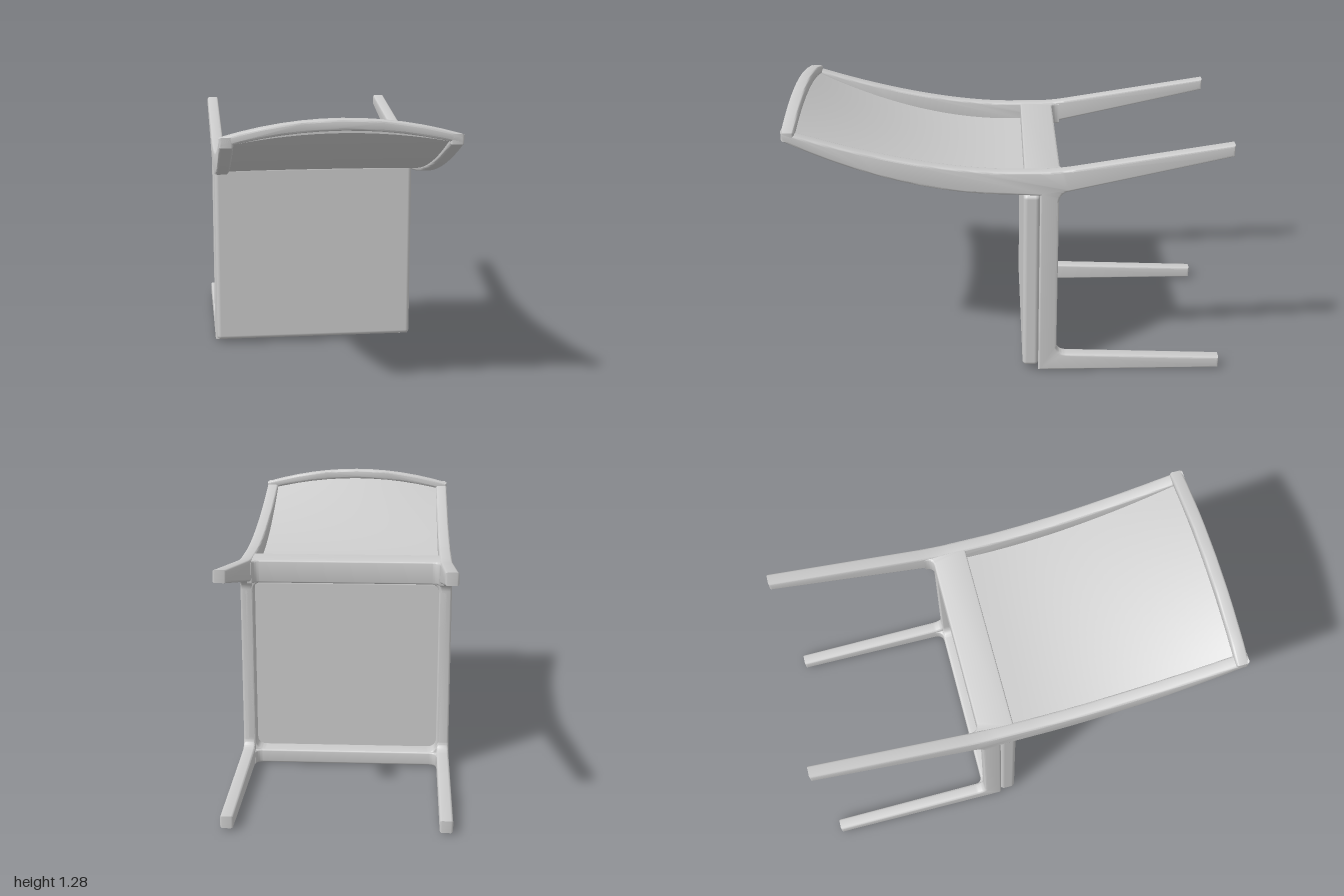
import * as THREE from 'three';
import { toCreasedNormals } from 'three/addons/utils/BufferGeometryUtils.js';
import { RoundedBoxGeometry } from 'three/addons/geometries/RoundedBoxGeometry.js';

const material = new THREE.MeshStandardMaterial({ color: 0xcccccc });

// Lower and upper edge of the curved back stiles, as height over z
const lowerEdge = (z) => 0.912 + 0.26 * Math.max(z, 0) ** 1.9;
const upperEdge = (z) => 1.02 + 0.195 * Math.max(z, 0) ** 1.7;

function part(name, geometry) {
  const mesh = new THREE.Mesh(geometry, material);
  mesh.name = name;
  return mesh;
}

// Extrusion whose bevel stays inside the drawn outline and depth
function extrude(shape, depth, bevel) {
  const g = new THREE.ExtrudeGeometry(shape, {
    depth: depth - 2 * bevel, bevelThickness: bevel, bevelSize: bevel,
    bevelOffset: -bevel, bevelSegments: 3, curveSegments: 12,
  });
  g.translate(0, 0, bevel);
  return toCreasedNormals(g, 0.6);
}

// Side profile in (z, y): back stile, seat side rail and both legs in one piece
function sideFrame() {
  const s = new THREE.Shape();
  s.moveTo(1, lowerEdge(1));
  for (let i = 19; i >= 0; i--) s.lineTo(i / 20, lowerEdge(i / 20));
  s.lineTo(-0.14, 0.905);
  s.lineTo(-0.14, 0);
  s.lineTo(-1, 0.008);
  s.lineTo(-1, 0.063);
  s.lineTo(-0.275, 0.085);
  s.quadraticCurveTo(-0.225, 0.087, -0.225, 0.13);
  s.lineTo(-0.225, 0.87);
  s.quadraticCurveTo(-0.225, 0.915, -0.27, 0.925);
  s.lineTo(-1, 1.09);
  s.lineTo(-1, 1.145);
  s.lineTo(-0.3, 1.033);
  s.quadraticCurveTo(-0.22, 1.02, -0.14, 1.02);
  for (let i = 0; i <= 20; i++) s.lineTo(i / 20, upperEdge(i / 20));
  s.closePath();
  return extrude(s, 0.058, 0.01).rotateY(-Math.PI / 2).translate(0.5, 0, 0);
}

// Cross rail seen from above, flaring into the legs with small fillets
function crossRail(front, y, height) {
  const s = new THREE.Shape();
  s.moveTo(-0.46, -front);
  s.lineTo(0.46, -front);
  s.lineTo(0.46, 0.27);
  s.lineTo(0.44, 0.27);
  s.quadraticCurveTo(0.44, 0.23, 0.4, 0.23);
  s.lineTo(-0.4, 0.23);
  s.quadraticCurveTo(-0.44, 0.23, -0.44, 0.27);
  s.lineTo(-0.46, 0.27);
  s.closePath();
  return extrude(s, height, 0.008).rotateX(-Math.PI / 2).translate(0, y, 0);
}

// Seat ring with a rounded opening
function seatFrame() {
  const s = new THREE.Shape();
  s.moveTo(-0.48, 0.02).lineTo(0.48, 0.02).lineTo(0.48, 0.98).lineTo(-0.48, 0.98).closePath();
  const hole = new THREE.Path();
  const w = 0.44, b = 0.07, t = 0.91, r = 0.045;
  hole.moveTo(-w + r, b);
  hole.lineTo(w - r, b).quadraticCurveTo(w, b, w, b + r);
  hole.lineTo(w, t - r).quadraticCurveTo(w, t, w - r, t);
  hole.lineTo(-w + r, t).quadraticCurveTo(-w, t, -w, t - r);
  hole.lineTo(-w, b + r).quadraticCurveTo(-w, b, -w + r, b);
  s.holes.push(hole);
  return extrude(s, 0.085, 0.006).translate(0, 0, -0.225);
}

// Arched rail closing the far end of the backrest
function archRail() {
  const s = new THREE.Shape();
  s.moveTo(-0.5, 1.17);
  s.quadraticCurveTo(0, 1.3, 0.5, 1.17);
  s.lineTo(0.5, 1.21);
  s.quadraticCurveTo(0, 1.355, -0.5, 1.21);
  s.closePath();
  return extrude(s, 0.058, 0.01).translate(0, 0, 0.942);
}

// Thin panel following the stiles and arching towards the far end
function backPanel() {
  const g = new THREE.BoxGeometry(0.9, 0.014, 1.04, 16, 1, 28);
  g.translate(0, 0, 0.45);
  const p = g.attributes.position;
  for (let i = 0; i < p.count; i++) {
    const x = p.getX(i), z = p.getZ(i);
    const arch = 0.055 * Math.max(z, 0) ** 2 * (1 - (x / 0.5) ** 2);
    p.setY(i, p.getY(i) + lowerEdge(z) + 0.02 + arch);
  }
  return toCreasedNormals(g, 0.6);
}

export function createModel() {
  const chair = new THREE.Group();
  chair.name = 'chair';

  // Side frames, one on each side
  const side = sideFrame();
  chair.add(part('leftSideFrame', side));
  chair.add(part('rightSideFrame', side.clone().translate(-0.942, 0, 0)));

  // Seat
  chair.add(part('seatFrame', seatFrame()));
  chair.add(part('rearSeatRail', crossRail(-0.07, 0.91, 0.108)));
  chair.add(part('frontSeatRail', crossRail(-0.14, 0.004, 0.066)));
  const cushion = part('seatCushion', new RoundedBoxGeometry(0.985, 0.885, 0.075, 4, 0.02));
  cushion.position.set(0, 0.462, -0.1025);
  chair.add(cushion);

  // Backrest
  chair.add(part('backTopRail', archRail()));
  chair.add(part('backPanel', backPanel()));
  return chair;
}
